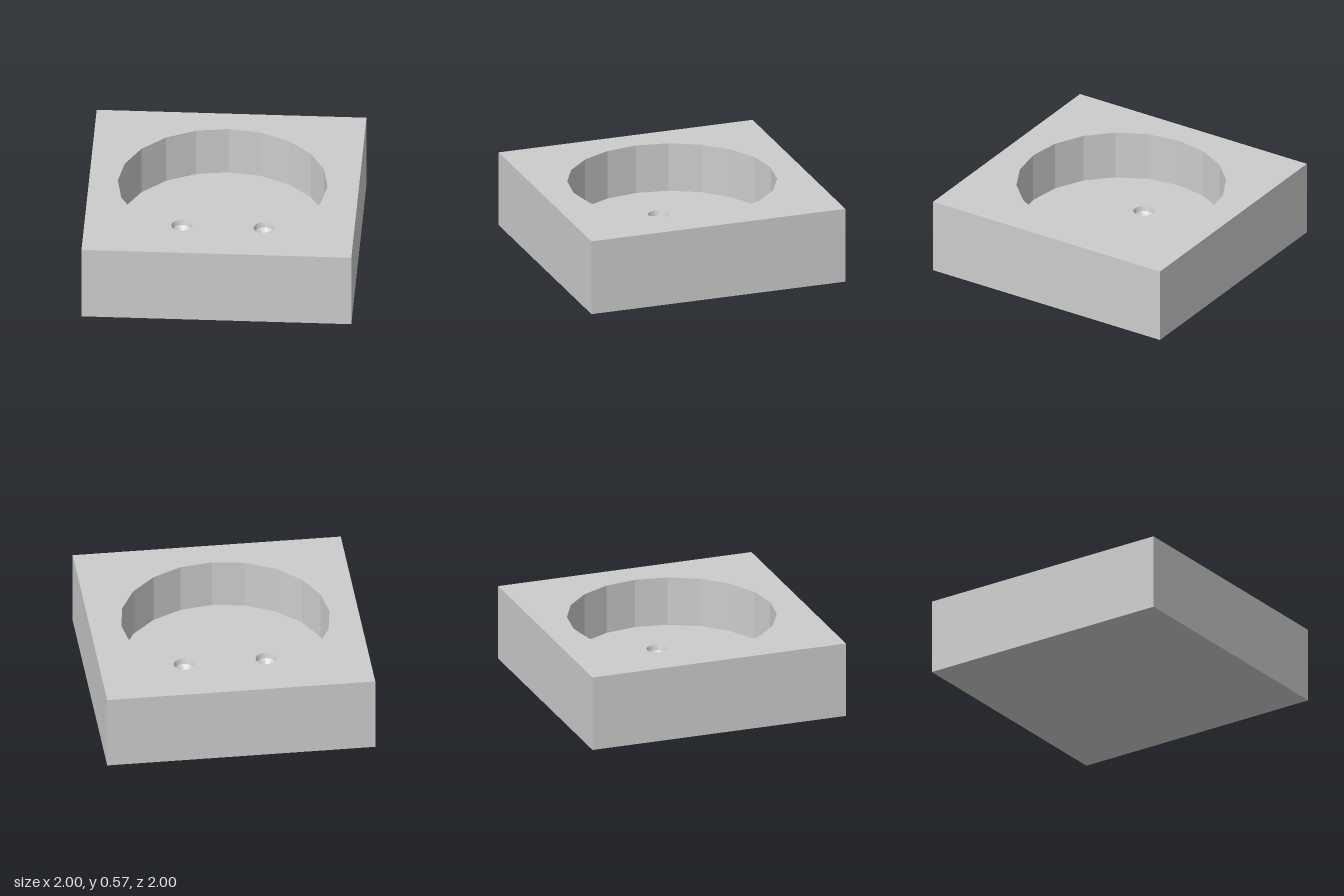
import * as THREE from 'three';

const HEIGHT = 0.575;
const FLOOR = 0.2;
const RECESS = { x: -0.01, z: -0.005, r: 0.777, sides: 20 };
const DIMPLES = [-0.313, 0.297].map((x) => ({ x, z: -0.008, r: 0.078, sides: 16 }));

// Regular polygon in shape space, where shape y is -z
function ring({ x, z, r, sides }) {
  return Array.from({ length: sides }, (_, i) => {
    const a = (i / sides) * Math.PI * 2;
    return new THREE.Vector2(x + r * Math.sin(a), -z + r * Math.cos(a));
  });
}

export function createModel() {
  const group = new THREE.Group();
  const grey = new THREE.MeshStandardMaterial({ color: 0xcccccc, flatShading: true });
  grey.name = 'light grey';

  function add(name, geometry, x = 0, y = 0, z = 0) {
    const mesh = new THREE.Mesh(geometry, grey);
    mesh.name = name;
    mesh.position.set(x, y, z);
    group.add(mesh);
  }

  // Flat upward-facing plate with holes
  function plate(name, points, holes, y) {
    const shape = new THREE.Shape(points);
    shape.holes = holes.map((h) => new THREE.Path(ring(h)));
    add(name, new THREE.ShapeGeometry(shape).rotateX(-Math.PI / 2), 0, y, 0);
  }

  // Sides and underside of the block, leaving out its top face
  const block = new THREE.BoxGeometry(2, HEIGHT, 2);
  block.setIndex(Array.from(block.index.array).filter((_, i) => i < 12 || i >= 18));
  block.clearGroups();
  add('block', block, 0, HEIGHT / 2, 0);

  // Top rim and recessed floor
  const square = [[-1, -1], [1, -1], [1, 1], [-1, 1]].map((p) => new THREE.Vector2(...p));
  plate('topRim', square, [RECESS], HEIGHT);
  plate('recessFloor', ring(RECESS), DIMPLES, FLOOR);

  // Faceted recess wall, facing inward
  const wall = [new THREE.Vector2(RECESS.r, HEIGHT), new THREE.Vector2(RECESS.r, FLOOR)];
  add('recessWall', new THREE.LatheGeometry(wall, RECESS.sides), RECESS.x, 0, RECESS.z);

  // Rounded dimples in the floor
  for (const d of DIMPLES) {
    const bowl = [[1, 0], [0.87, -0.5], [0.45, -0.88], [0, -1]]
      .map(([r, y]) => new THREE.Vector2(r * d.r, y * d.r));
    add(d.x > 0 ? 'leftDimple' : 'rightDimple', new THREE.LatheGeometry(bowl, d.sides), d.x, FLOOR, d.z);
  }
  return group;
}
